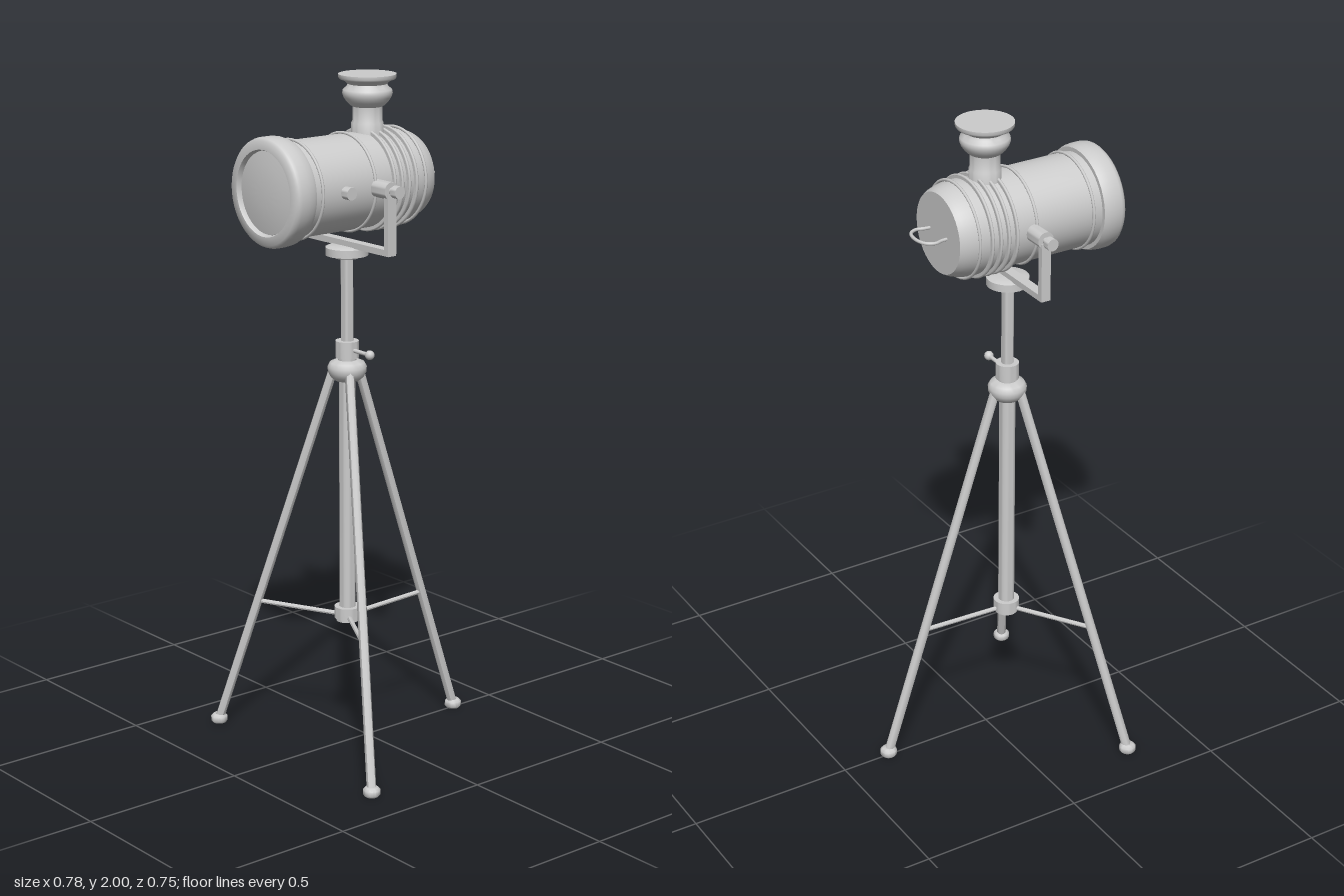
import * as THREE from 'three';
import { toCreasedNormals } from 'three/addons/utils/BufferGeometryUtils.js';

const AXIS_Z = 0.073; // tripod column
const LAMP_Y = 1.7;   // lamp axis
const metal = new THREE.MeshStandardMaterial({ color: 0xcccccc });
metal.name = 'light grey metal';

export function createModel() {
  const root = new THREE.Group();
  root.name = 'tripodSpotlight';

  const add = (name, geometry, parent = root) => {
    const mesh = new THREE.Mesh(geometry, metal);
    mesh.name = name;
    parent.add(mesh);
    return mesh;
  };
  const group = (name, x, y, z) => {
    const g = new THREE.Group();
    g.name = name;
    g.position.set(x, y, z);
    root.add(g);
    return g;
  };
  // Profile points are [radius, height], listed from bottom to top
  const lathe = (points, sides = 32) => toCreasedNormals(
    new THREE.LatheGeometry(points.map(([r, y]) => new THREE.Vector2(r, y)), sides), 0.85);
  // Straight rod between two points
  const rod = (name, a, b, radius, parent, sides = 16) => {
    const from = new THREE.Vector3(...a), to = new THREE.Vector3(...b);
    const dir = to.clone().sub(from);
    const mesh = add(name, toCreasedNormals(
      new THREE.CylinderGeometry(radius, radius, dir.length(), sides), 0.85), parent);
    mesh.position.copy(from).add(to).multiplyScalar(0.5);
    mesh.quaternion.setFromUnitVectors(new THREE.Vector3(0, 1, 0), dir.normalize());
    return mesh;
  };

  // Tripod: column, hubs and telescopic rod
  const tripod = group('tripod', 0, 0, AXIS_Z);
  rod('column', [0, 0.4, 0], [0, 1.15, 0], 0.024, tripod, 24);
  rod('telescopicRod', [0, 1.15, 0], [0, 1.5, 0], 0.018, tripod, 24);
  add('lowerHub', lathe([[0, 0.384], [0.034, 0.384], [0.034, 0.392], [0.039, 0.392],
    [0.039, 0.428], [0, 0.428]]), tripod);
  add('upperHub', lathe([[0, 1.12], [0.036, 1.12], [0.048, 1.13], [0.056, 1.145],
    [0.057, 1.16], [0.05, 1.173], [0.034, 1.18], [0, 1.18]]), tripod);
  add('clampCollar', lathe([[0, 1.175], [0.027, 1.175], [0.027, 1.187], [0.034, 1.187],
    [0.034, 1.237], [0, 1.237]]), tripod);
  rod('clampScrew', [0.03, 1.212, 0], [0.1, 1.212, 0], 0.006, tripod);
  add('clampKnob', new THREE.SphereGeometry(0.014, 16, 12), tripod).position.set(0.102, 1.212, 0);

  // Three legs, each with a foot and a brace
  for (let i = 0; i < 3; i++) {
    const leg = new THREE.Group();
    leg.name = 'leg' + (i + 1);
    leg.rotation.y = Math.PI + i * Math.PI * 2 / 3;
    tripod.add(leg);
    rod('legTube', [0, 1.15, 0.042], [0, 0.015, 0.419], 0.014, leg, 8);
    rod('brace', [0, 0.4, 0.03], [0, 0.409, 0.287], 0.007, leg, 8);
    add('foot', lathe([[0, 0], [0.02, 0], [0.025, 0.006], [0.025, 0.02], [0.018, 0.027],
      [0, 0.027]], 20), leg).position.z = 0.421;
  }

  // Yoke: mounting plate, U bracket and pivots
  const yoke = group('yoke', 0, 0, AXIS_Z);
  add('mountingPlate', lathe([[0, 1.48], [0.035, 1.48], [0.04, 1.489], [0.062, 1.489],
    [0.062, 1.512], [0.05, 1.517], [0, 1.517]]), yoke);
  add('yokeBase', new THREE.BoxGeometry(0.4, 0.018, 0.03), yoke).position.y = 1.524;
  for (const s of [-1, 1]) {
    add('yokeArm', new THREE.BoxGeometry(0.017, 0.175, 0.03), yoke).position.set(s * 0.1915, 1.6045, 0);
    rod('pivotSleeve', [s * 0.125, LAMP_Y, 0], [s * 0.197, LAMP_Y, 0], 0.025, yoke, 24);
    rod('pivotShaft', [s * 0.195, LAMP_Y, 0], [s * 0.215, LAMP_Y, 0], 0.01, yoke);
    rod('pivotKnob', [s * 0.211, LAMP_Y, 0], [s * 0.233, LAMP_Y, 0], 0.018, yoke, 20);
  }

  // Lamp: all turned parts lie along z
  const lamp = group('lamp', 0, LAMP_Y, 0);
  const turned = (name, points) =>
    add(name, lathe(points, 48).rotateX(Math.PI / 2), lamp);
  turned('housing', [[0, -0.155], [0.118, -0.155], [0.125, -0.143], [0.131, -0.125], [0.136, -0.1],
    [0.137, -0.09], [0.137, 0.31], [0, 0.31]]);
  turned('frontRim', [[0.13, 0.3], [0.149, 0.3], [0.154, 0.312], [0.156, 0.33], [0.156, 0.354],
    [0.153, 0.364], [0.146, 0.371], [0.122, 0.372], [0.118, 0.362], [0.118, 0.345]]);
  turned('lens', [[0.119, 0.35], [0.117, 0.358], [0.08, 0.364], [0.04, 0.367], [0, 0.368]]);
  const rings = [[-0.103, 0.14], [-0.065, 0.145], [-0.038, 0.145], [-0.012, 0.145],
    [0.015, 0.145], [0.082, 0.14], [0.27, 0.14]];
  for (const [z, r] of rings)
    add('housingRing', new THREE.TorusGeometry(r, 0.0045, 8, 48), lamp).position.z = z;
  // Wider cooling fins fill in under their rings
  for (const [z, r] of rings.slice(1, 5))
    rod('coolingFin', [0, 0, z - 0.004], [0, 0, z + 0.004], r, lamp, 48);
  rod('focusKnob', [0.125, 0, 0.187], [0.163, 0, 0.187], 0.018, lamp, 20);

  // Rear handle loop
  const loop = new THREE.CatmullRomCurve3([[-0.045, -0.15], [-0.047, -0.172], [-0.053, -0.195],
    [-0.039, -0.219], [0, -0.229], [0.039, -0.219], [0.053, -0.195], [0.047, -0.172],
    [0.045, -0.15]].map(([x, z]) => new THREE.Vector3(x, 0, z)));
  add('rearHandle', new THREE.TubeGeometry(loop, 40, 0.005, 8), lamp);

  // Chimney with flared cap
  const chimney = group('chimney', 0, 0, -0.003);
  add('vent', lathe([[0.046, 1.8], [0.046, 1.862], [0.043, 1.867], [0.043, 1.908], [0.05, 1.912],
    [0.06, 1.922], [0.068, 1.934], [0.072, 1.946], [0.07, 1.956], [0.06, 1.964], [0.056, 1.972],
    [0.066, 1.981], [0.08, 1.986], [0.083, 1.991], [0.083, 2], [0, 2]], 40), chimney);

  return root;
}
